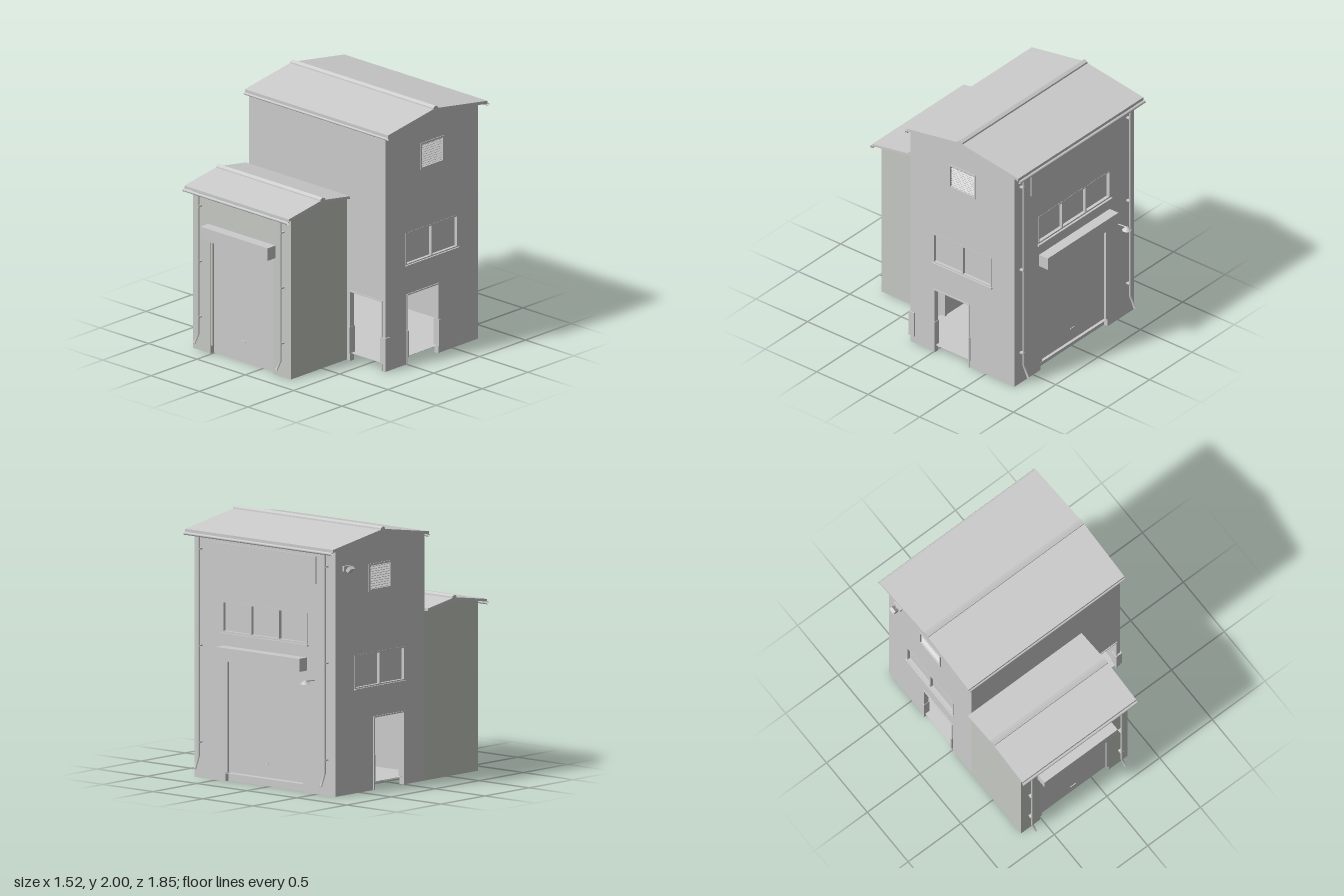
import * as THREE from 'three';

const grey = new THREE.MeshStandardMaterial({ color: 0xcccccc, side: THREE.DoubleSide });
const annexPaint = new THREE.MeshStandardMaterial({ color: 0xc6cac2, side: THREE.DoubleSide });
const T = 0.035; // wall thickness

export function createModel() {
  const root = new THREE.Group();

  const add = (name, geo, mat = grey) => {
    const m = new THREE.Mesh(geo, mat);
    m.name = name;
    root.add(m);
    return m;
  };
  // Box given by its limits on each axis
  const box = (name, x0, x1, y0, y1, z0, z1, mat) => {
    const m = add(name, new THREE.BoxGeometry(Math.abs(x1 - x0), Math.abs(y1 - y0), Math.abs(z1 - z0)), mat);
    m.position.set((x0 + x1) / 2, (y0 + y1) / 2, (z0 + z1) / 2);
    return m;
  };
  const outline = (pts, holes = []) => {
    const s = new THREE.Shape(pts.map(([a, b]) => new THREE.Vector2(a, b)));
    for (const [a0, a1, b0, b1] of holes)
      s.holes.push(new THREE.Path([[a0, b0], [a0, b1], [a1, b1], [a1, b0]].map(p => new THREE.Vector2(...p))));
    return s;
  };
  const extrude = (s, depth) => new THREE.ExtrudeGeometry(s, { depth, bevelEnabled: false });
  // Wall drawn in (x, y), running from z0 to z0 + T
  const wallZ = (name, pts, holes, z0, mat) => { add(name, extrude(outline(pts, holes), T), mat).position.z = z0; };
  // Profile drawn in (z, y), running from x0 to x1
  const alongX = (name, pts, holes, x0, x1, mat) => {
    const s = outline(pts.map(([z, y]) => [-z, y]), holes.map(([a, b, c, d]) => [-a, -b, c, d]));
    const m = add(name, extrude(s, x1 - x0), mat);
    m.rotation.y = Math.PI / 2;
    m.position.x = x0;
  };
  // Round rod through a list of points
  const rod = (name, pts, r) => {
    const path = new THREE.CurvePath();
    const v = pts.map(p => new THREE.Vector3(...p));
    for (let i = 1; i < v.length; i++) path.add(new THREE.LineCurve3(v[i - 1], v[i]));
    add(name, new THREE.TubeGeometry(path, (v.length - 1) * 8, r, 8));
  };

  // Gabled roof slab with ridge cap; eaves and ridge as [z, y] of the underside
  const roof = (name, back, ridge, front, x0, x1, t) => {
    const up = ([z, y]) => [z, y + t];
    alongX(name + 'Roof', [back, ridge, front, up(front), up(ridge), up(back)], [], x0, x1);
    const [z, y] = up(ridge);
    alongX(name + 'RidgeCap', [[z - 0.03, y - 0.01], [z - 0.027, y + 0.008], [z - 0.003, y + 0.02],
      [z + 0.02, y + 0.006], [z + 0.022, y - 0.01]], [], x0, x1);
  };

  // Main building: gabled side walls with doorway, window and vent openings
  const windowHole = [-0.56, 0.01, 0.79, 1.05], ventHole = [-0.4, -0.15, 1.52, 1.72];
  const gable = [[0.23, 0], [0.23, 1.875], [-0.275, 1.955], [-0.78, 1.875], [-0.78, 0],
    [-0.34, 0], [-0.34, 0.55], [-0.01, 0.55], [-0.01, 0]];
  for (const [side, x0, out] of [['left', 0.685, 1], ['right', -0.69, -1]]) {
    alongX(side + 'Wall', gable, [windowHole, ventHole], x0, x0 + T);
    const face = out > 0 ? x0 + T : x0;
    const b = (n, d0, d1, ...r) => box(side + n, face + out * d0, face + out * d1, ...r);
    // Window with frame, mullion and sill
    b('WindowGlass', -0.03, -0.022, 0.79, 1.05, -0.56, 0.01);
    for (const z of [-0.56, -0.281, -0.002]) b('WindowUpright', -0.03, 0.002, 0.79, 1.05, z, z + 0.012);
    for (const y of [0.79, 1.038]) b('WindowRail', -0.03, 0.002, y, y + 0.012, -0.56, 0.01);
    b('WindowSill', -0.03, 0.015, 0.783, 0.793, -0.565, 0.015);
    // Louvred vent
    b('VentBack', -0.034, -0.03, 1.52, 1.72, -0.4, -0.15);
    for (const z of [-0.405, -0.16]) b('VentFrameSide', -0.03, 0.006, 1.515, 1.725, z, z + 0.015);
    for (const y of [1.515, 1.71]) b('VentFrameRail', -0.03, 0.006, y, y + 0.015, -0.405, -0.145);
    for (let i = 0; i < 10; i++) {
      const slat = b('VentSlat', -0.026, -0.004, 1.537 + i * 0.0185, 1.541 + i * 0.0185, -0.39, -0.16);
      slat.rotation.z = -out * 0.6;
    }
    // Doorway trim and corner guards
    b('DoorTrimTop', -0.01, 0.007, 0.55, 0.56, -0.35, 0);
    for (const z of [-0.35, -0.01]) {
      b('DoorTrimSide', -0.01, 0.007, 0, 0.56, z, z + 0.01);
      b('DoorGuard', -T - 0.008, 0.013, 0.06, 0.27, z - 0.004, z + 0.013);
    }
  }
  box('floor', -0.688, 0.718, 0.06, 0.062, -0.778, 0.228);

  // Front wall with the small doorway beside the annex
  wallZ('frontWall', [[-0.655, 0], [0.36, 0], [0.36, 0.55], [0.685, 0.55], [0.685, 1.88], [-0.655, 1.88]], [], 0.195);
  box('frontDoorTrimTop', 0.35, 0.69, 0.55, 0.56, 0.21, 0.237);
  box('frontDoorTrimSide', 0.35, 0.36, 0, 0.56, 0.21, 0.237);
  box('frontDoorTrimSide', 0.68, 0.69, 0, 0.56, 0.21, 0.237);
  box('frontDoorGuard', 0.34, 0.362, 0.06, 0.27, 0.187, 0.243);
  box('frontDoorGuard', 0.675, 0.73, 0.06, 0.27, 0.187, 0.243);

  // Back wall with shutter opening and window band
  wallZ('backWall', [[-0.655, 0], [-0.38, 0], [-0.38, 0.93], [0.41, 0.93], [0.41, 0], [0.685, 0],
    [0.685, 1.88], [-0.655, 1.88]], [[-0.41, 0.44, 1.13, 1.37]], -0.78);
  box('backWindowGlass', -0.41, 0.44, 1.13, 1.37, -0.756, -0.748);
  for (let i = 0; i < 4; i++) {
    const x = -0.41 + i * 0.2793;
    box('backWindowUpright', x, x + 0.012, 1.13, 1.37, -0.782, -0.75);
  }
  for (const y of [1.13, 1.358]) box('backWindowRail', -0.41, 0.44, y, y + 0.012, -0.782, -0.75);
  box('backWindowSill', -0.42, 0.45, 1.115, 1.128, -0.797, -0.75);
  box('backSignPanel', -0.5, 0.53, 1.6, 1.81, -0.79, -0.78);

  // Annex walls
  const annexGable = [[0.23, 0], [0.23, 1.29], [0.535, 1.34], [0.84, 1.29], [0.84, 0]];
  alongX('annexSideWall', annexGable, [], -0.69, -0.69 + T, annexPaint);
  alongX('annexSideWall', annexGable, [], 0.32 - T, 0.32, annexPaint);
  wallZ('annexFrontWall', [[-0.655, 0], [-0.51, 0], [-0.51, 0.93], [0.14, 0.93], [0.14, 0], [0.285, 0],
    [0.285, 1.295], [-0.655, 1.295]], [], 0.805, annexPaint);

  // Roller shutters: panel, tracks, threshold, handle and hood; s points outwards
  const shutter = (name, x0, x1, z, s) => {
    box(name + 'Panel', x0, x1, 0.07, 0.925, z - s * 0.03, z - s * 0.018);
    for (const x of [x0, x1 - 0.018]) box(name + 'Track', x, x + 0.018, 0.065, 0.92, z - s * 0.03, z - s * 0.002);
    box(name + 'Header', x0, x1, 0.915, 0.93, z - s * 0.03, z);
    box(name + 'Threshold', x0, x1, 0, 0.062, z - s * 0.07, z - s * 0.035);
    const c = (x0 + x1) / 2;
    box(name + 'Handle', c - 0.025, c + 0.025, 0.17, 0.178, z - s * 0.02, z - s * 0.012);
    box(name + 'Hood', x0 - 0.025, x1 + 0.02, 0.93, 1.03, z, z + s * 0.085);
  };
  shutter('annexShutter', -0.51, 0.14, 0.84, 1);
  shutter('backShutter', -0.38, 0.41, -0.78, -1);

  // Roofs and gutters
  roof('main', [-0.845, 1.866], [-0.275, 1.957], [0.24, 1.875], -0.725, 0.755, 0.024);
  roof('annex', [0.23, 1.292], [0.535, 1.341], [0.9, 1.283], -0.725, 0.355, 0.02);
  rod('backGutter', [[-0.725, 1.858, -0.855], [0.755, 1.858, -0.855]], 0.012);
  rod('frontGutter', [[-0.725, 1.867, 0.243], [0.755, 1.867, 0.243]], 0.01);
  rod('annexGutter', [[-0.725, 1.272, 0.908], [0.355, 1.272, 0.908]], 0.012);

  // Downpipes with brackets; z is the wall face, s points outwards
  const downpipe = (x, z, s, top) => {
    rod('downpipe', [[x, top, z + s * 0.03], [x, 0.135, z + s * 0.03], [x, 0.075, z + s * 0.075]], 0.009);
    for (let i = 0; i < 3; i++) {
      const y = 0.27 + i * (top - 0.4) / 2;
      box('pipeBracket', x - 0.012, x + 0.012, y, y + 0.01, z, z + s * 0.035);
    }
  };
  for (const x of [-0.61, 0.24]) downpipe(x, 0.84, 1, 1.285);
  for (const x of [-0.61, 0.65]) downpipe(x, -0.78, -1, 1.87);

  // Wall lamp at the back
  rod('lampArm', [[-0.48, 0.865, -0.78], [-0.48, 0.872, -0.885]], 0.005);
  add('lampShade', new THREE.CylinderGeometry(0.008, 0.037, 0.026, 16)).position.set(-0.48, 0.862, -0.885);

  // Security camera on the right wall
  box('cameraMount', -0.705, -0.69, 1.705, 1.745, -0.7, -0.62);
  rod('cameraArm', [[-0.705, 1.725, -0.66], [-0.735, 1.72, -0.66]], 0.006);
  box('cameraBody', -0.757, -0.713, 1.705, 1.735, -0.685, -0.635).rotation.z = -0.8;

  return root;
}
